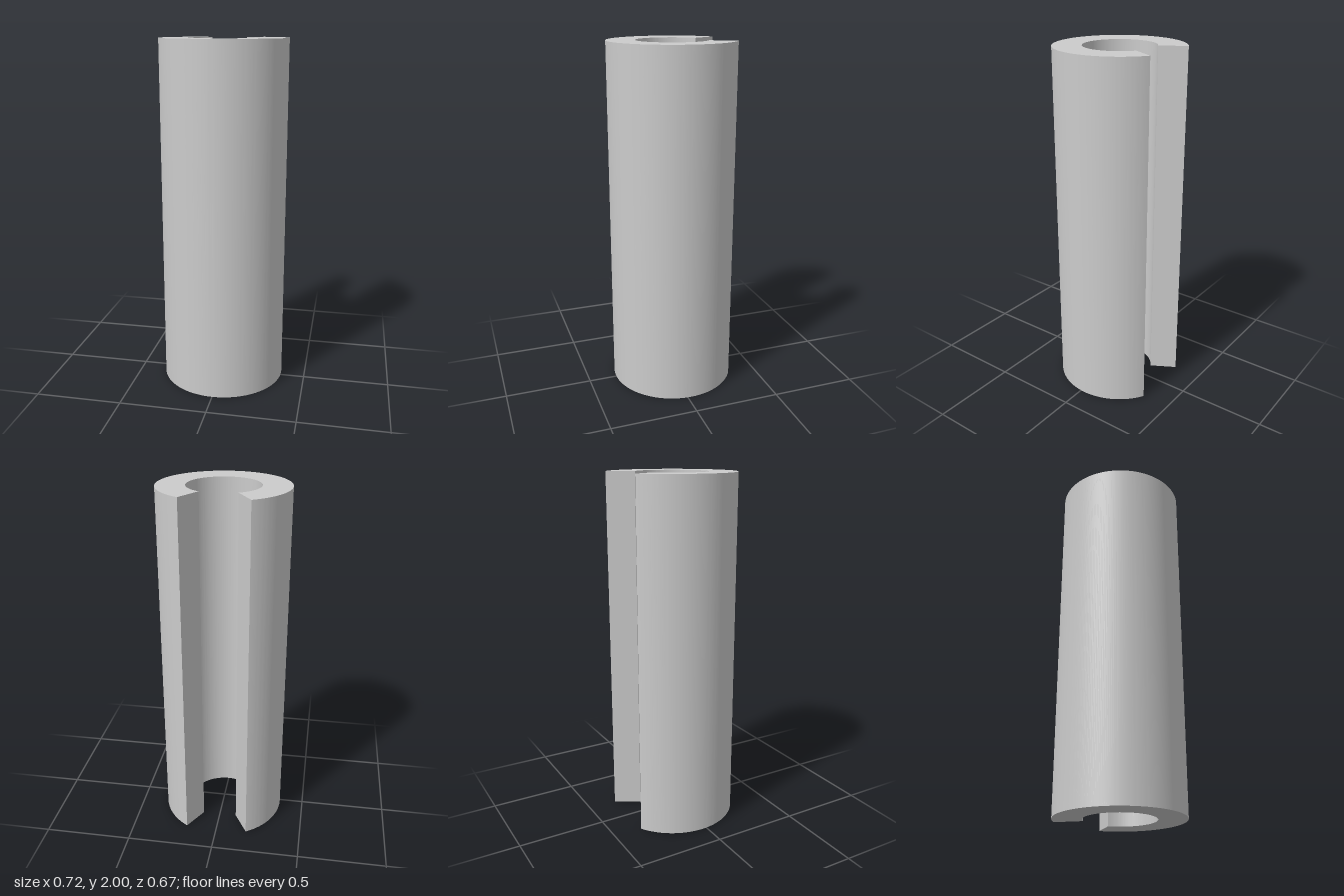
import * as THREE from 'three';
import { toCreasedNormals } from 'three/addons/utils/BufferGeometryUtils.js';

const HEIGHT = 2;
const OUTER = 0.359;
const INNER = 0.2;
const HALF_GAP = Math.PI / 6; // slot spans 60 degrees at the back
const CENTRE_Z = -0.024; // bore axis, offset so the bounds are centred

export function createModel() {
  const group = new THREE.Group();
  group.name = 'slottedTube';

  // C-shaped section, its opening facing +y (the back once laid flat)
  const start = Math.PI / 2 + HALF_GAP;
  const end = Math.PI * 2.5 - HALF_GAP;
  const section = new THREE.Shape();
  section.absarc(0, 0, OUTER, start, end, false);
  section.absarc(0, 0, INNER, end, start, true);
  section.closePath();

  // Extrude upward, keeping curved walls smooth and edges sharp
  const extruded = new THREE.ExtrudeGeometry(section, {
    depth: HEIGHT,
    bevelEnabled: false,
    curveSegments: 96,
  });
  extruded.rotateX(-Math.PI / 2);
  extruded.translate(0, 0, CENTRE_Z);

  const tube = new THREE.Mesh(
    toCreasedNormals(extruded, Math.PI / 6),
    new THREE.MeshStandardMaterial({ color: 0xcccccc })
  );
  tube.name = 'tubeWall';
  group.add(tube);
  return group;
}
